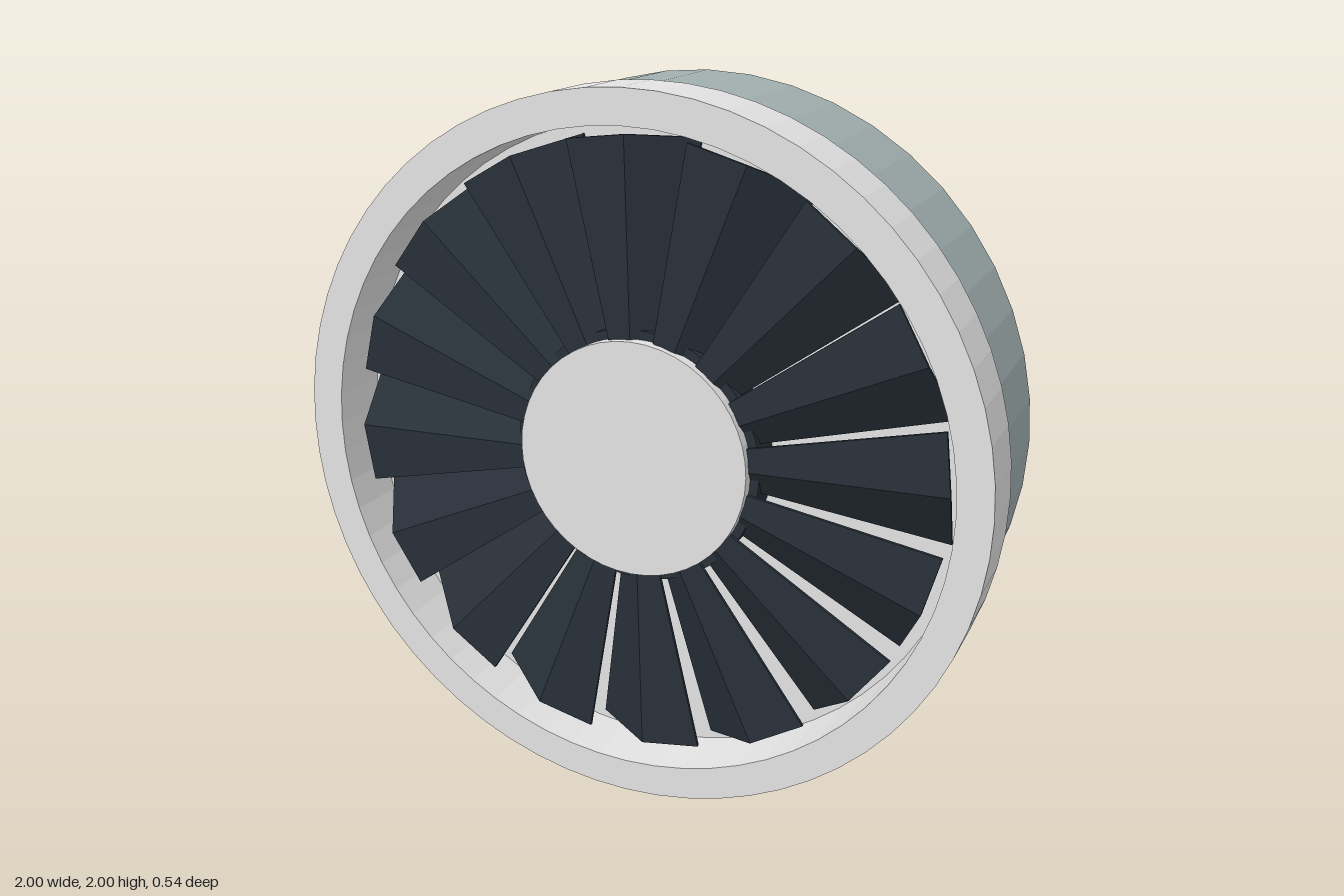
import * as THREE from 'three';

const mat = (name, color) => {
  const m = new THREE.MeshStandardMaterial({ color, flatShading: true });
  m.name = name;
  return m;
};

// One bent blade: a flat leading half and a steep trailing half, scaled along the radius so faces stay planar
function bladeGeometry() {
  const step = Math.PI / 16, thick = 0.01, c = 0.205;
  const edges = [[step, -0.01], [0, 0], [-step, -0.125]]; // angle, rise per unit radius
  const pos = [], idx = [];
  for (const r of [0.335, 0.875]) {
    const front = edges.map(([a, k]) => [r * Math.cos(a), r * Math.sin(a), c + k * r]);
    const back = front.map(([x, y, z]) => [x, y, z - thick]).reverse();
    for (const p of [...front, ...back]) pos.push(...p);
  }
  for (let i = 0; i < 6; i++) {
    const j = (i + 1) % 6;
    idx.push(i, j, i + 6, j, j + 6, i + 6);
  }
  for (const o of [0, 6]) idx.push(o, o + 1, o + 4, o, o + 4, o + 5, o + 1, o + 2, o + 3, o + 1, o + 3, o + 4);
  const g = new THREE.BufferGeometry();
  g.setAttribute('position', new THREE.Float32BufferAttribute(pos, 3));
  g.setIndex(idx);
  const flat = g.toNonIndexed();
  flat.computeVertexNormals();
  return flat;
}

export function createModel() {
  const model = new THREE.Group();
  const silver = mat('silver', 0xe3e3e3);
  const greyGreen = mat('grey green', 0xa2b0b0);
  const dark = mat('dark slate', 0x283039);
  dark.side = THREE.DoubleSide;

  const add = (name, geometry, material, x, y, z) => {
    const mesh = new THREE.Mesh(geometry, material);
    mesh.name = name;
    mesh.position.set(x, y, z);
    model.add(mesh);
    return mesh;
  };
  // Disc or drum lying along z
  const drum = (r, z0, z1, seg) =>
    new THREE.CylinderGeometry(r, r, z1 - z0, seg).rotateX(Math.PI / 2).translate(0, 0, (z0 + z1) / 2);

  // Rear housing, slightly off the ring's axis
  add('housing', drum(0.962, -0.27, 0.08, 48), greyGreen, 0.015, 1.032, 0);

  // Front ring with a shallow floor
  const profile = [[0, 0.08], [1, 0.08], [1, 0.27], [0.905, 0.27], [0.905, 0.085], [0, 0.085]]
    .map(([r, z]) => new THREE.Vector2(r, z));
  add('intakeRing', new THREE.LatheGeometry(profile, 64).rotateX(Math.PI / 2), silver, 0, 1, 0);

  // Hub and its cap
  add('hub', drum(0.36, 0.085, 0.19, 48), dark, 0, 1, 0);
  add('hubCap', drum(0.335, 0.19, 0.225, 48), silver, 0, 1, 0);

  // Fan blades
  const blade = bladeGeometry();
  for (let i = 0; i < 16; i++) {
    add('fanBlade', blade, dark, 0, 1, 0).rotation.z = 0.025 + (i * Math.PI) / 8;
  }
  return model;
}
